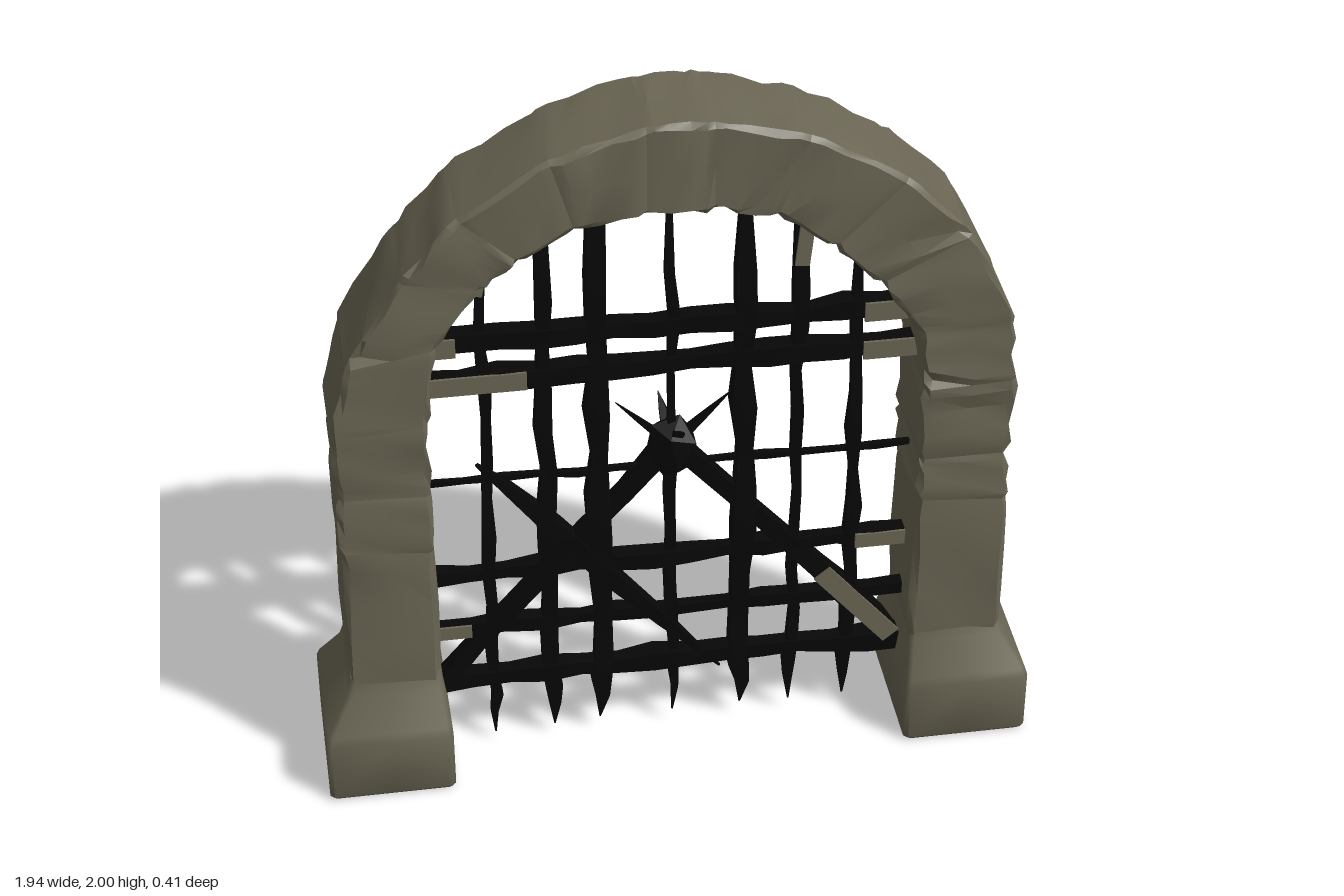
import * as THREE from 'three';
import { toCreasedNormals } from 'three/addons/utils/BufferGeometryUtils.js';

const V = (x, y, z) => new THREE.Vector3(x, y, z);

// small seeded generator, returns -1..1
let seed = 7;
const rnd = () => {
  seed = (seed * 16807) % 2147483647;
  return (seed / 2147483647) * 2 - 1;
};

// closed skin over a list of equal-length rings of points
function loft(rings, crease) {
  const n = rings[0].length, pos = [], idx = [];
  rings.forEach(r => r.forEach(p => pos.push(p.x, p.y, p.z)));
  for (let i = 0; i < rings.length - 1; i++) {
    for (let j = 0; j < n; j++) {
      const a = i * n + j, b = i * n + (j + 1) % n;
      idx.push(a, b, a + n, b, b + n, a + n);
    }
  }
  [0, rings.length - 1].forEach(k => {
    const c = rings[k].reduce((s, p) => s.add(p), V(0, 0, 0)).divideScalar(n);
    const ci = pos.length / 3;
    pos.push(c.x, c.y, c.z);
    for (let j = 0; j < n; j++) {
      const a = k * n + j, b = k * n + (j + 1) % n;
      if (k === 0) idx.push(ci, b, a); else idx.push(ci, a, b);
    }
  });
  // turn the skin outwards when its signed volume is negative
  const at = i => V(pos[i * 3], pos[i * 3 + 1], pos[i * 3 + 2]);
  let volume = 0;
  for (let i = 0; i < idx.length; i += 3) volume += at(idx[i]).dot(at(idx[i + 1]).cross(at(idx[i + 2])));
  if (volume < 0) idx.reverse();
  const g = new THREE.BufferGeometry();
  g.setAttribute('position', new THREE.Float32BufferAttribute(pos, 3));
  g.setIndex(idx);
  return toCreasedNormals(g, crease);
}

// chamfered rectangle with a midpoint on every side, as [u, v] pairs
function section(hu, hv, c) {
  return [[hu, 0], [hu, hv - c], [hu - c, hv], [0, hv], [c - hu, hv], [-hu, hv - c],
    [-hu, 0], [-hu, c - hv], [c - hu, -hv], [0, -hv], [hu - c, -hv], [hu, c - hv]];
}

export function createModel() {
  const stone = new THREE.MeshStandardMaterial({ color: 0x6b6654 });
  stone.name = 'stone';
  const iron = new THREE.MeshStandardMaterial({ color: 0x070707 });
  iron.name = 'blackIron';
  const model = new THREE.Group();
  model.name = 'gateway';
  const add = (parent, name, geometry, material) => {
    const m = new THREE.Mesh(geometry, material);
    m.name = name;
    parent.add(m);
  };

  // flared footings
  const footings = new THREE.Group();
  footings.name = 'footings';
  model.add(footings);
  for (const s of [-1, 1]) {
    const levels = [[0, 0.797, 0.163, 0.197], [0.012, 0.797, 0.172, 0.207], [0.19, 0.797, 0.172, 0.207],
      [0.215, 0.795, 0.166, 0.199], [0.31, 0.772, 0.13, 0.147], [0.36, 0.768, 0.12, 0.135]];
    const rings = levels.map(([y, cx, hx, hz]) =>
      section(hx, hz, 0.012).map(([u, v]) => V(s * cx + u, y, v)));
    add(footings, s < 0 ? 'rightFooting' : 'leftFooting', loft(rings, 0.9), stone);
  }

  // joints between stones: outer x, y, inner x, y, half depth
  const joints = [
    [-0.89, 0.3, -0.643, 0.3, 0.14], [-0.893, 0.79, -0.645, 0.77, 0.14], [-0.885, 0.96, -0.645, 0.95, 0.135],
    [-0.895, 1.16, -0.645, 1.18, 0.145], [-0.845, 1.37, -0.615, 1.41, 0.145], [-0.70, 1.61, -0.5, 1.57, 0.138],
    [-0.55, 1.78, -0.4, 1.645, 0.138], [-0.32, 1.925, -0.26, 1.72, 0.136], [-0.08, 1.995, -0.08, 1.75, 0.138],
    [0.09, 1.995, 0.09, 1.75, 0.138], [0.33, 1.935, 0.25, 1.715, 0.136], [0.58, 1.79, 0.40, 1.61, 0.136],
    [0.75, 1.61, 0.52, 1.49, 0.138], [0.875, 1.35, 0.625, 1.33, 0.145], [0.89, 1.16, 0.645, 1.15, 0.148],
    [0.88, 0.92, 0.643, 0.92, 0.136], [0.888, 0.77, 0.643, 0.79, 0.142], [0.89, 0.3, 0.643, 0.3, 0.14]];
  const arch = new THREE.Group();
  arch.name = 'archStones';
  model.add(arch);
  for (let k = 0; k < joints.length - 1; k++) {
    const A = joints[k], B = joints[k + 1];
    const swell = 0.002 + 0.002 * rnd();
    const rings = [0, 0.12, 0.35, 0.65, 0.88, 1].map((t, i) => {
      const [ox, oy, ix, iy, hz] = A.map((a, j) => a + (B[j] - a) * t);
      const end = i === 0 || i === 5;
      const mid = V((ox + ix) / 2, (oy + iy) / 2, 0);
      const across = V(ox - ix, oy - iy, 0);
      const hw = across.length() / 2;
      across.normalize();
      const grow = end ? -0.001 : swell;
      return section(hw + grow, hz + grow, 0.013).map(([u, v]) => {
        // weathered faces with an occasional chip
        const rough = end ? 0 : 0.006;
        const chip = !end && rnd() > 0.8 ? 0.93 : 1;
        return mid.clone().addScaledVector(across, u * chip + rnd() * rough)
          .add(V(0, 0, v * chip + rnd() * rough));
      });
    });
    add(arch, 'archStone', loft(rings, 0.5), stone);
  }

  // hand-forged square bar, profile is a list of [position along, half width]
  const gate = new THREE.Group();
  gate.name = 'gate';
  model.add(gate);
  const Z = 0.015;
  function bar(name, a, b, profile, wobble = 0.006) {
    const dir = b.clone().sub(a).normalize();
    const side = V(-dir.y, dir.x, 0).normalize();
    const rings = profile.map(([t, w]) => {
      const c = a.clone().lerp(b, t).addScaledVector(side, rnd() * wobble);
      return [[1, 1], [-1, 1], [-1, -1], [1, -1]].map(([u, v]) =>
        c.clone().addScaledVector(side, u * w).add(V(0, 0, v * w)));
    });
    add(gate, name, loft(rings, 0.4), iron);
  }
  const even = (w, n, vary = 0.25) =>
    Array.from({ length: n + 1 }, (_, i) => [i / n, w * (1 + vary * rnd())]);

  // thin bare plate on the front of a bar: start, end, half width, front z
  function plate(x0, y0, x1, y1, w, z) {
    const g = new THREE.BoxGeometry(Math.hypot(x1 - x0, y1 - y0), 2 * w, 0.008);
    g.rotateZ(Math.atan2(y1 - y0, x1 - x0)).translate((x0 + x1) / 2, (y0 + y1) / 2, z);
    add(gate, 'barePlate', g, stone);
  }

  // uprights with spear points: x, half width, top, half width at top
  const uprights = [[-0.49, 0.014, 1.6, 0.01], [-0.335, 0.022, 1.72, 0.016], [-0.195, 0.026, 1.78, 0.022],
    [0, 0.013, 1.78, 0.005], [0.19, 0.026, 1.76, 0.01], [0.335, 0.016, 1.7, 0.012], [0.49, 0.016, 1.56, 0.008]];
  for (const [x, w, top, tip] of uprights) {
    const profile = [[0, 0.002], [0.05, w * 0.75], [0.09, w * 1.1], [0.12, w]];
    for (let i = 1; i <= 9; i++) profile.push([0.12 + i * 0.08, w * (1 + 0.3 * rnd())]);
    profile.push([1, tip]);
    bar('upright', V(x, 0.04 + 0.015 * rnd(), Z), V(x, top, Z), profile, 0.008);
  }
  plate(0.333, 1.5, 0.345, 1.62, 0.019, Z + 0.022);
  plate(-0.5, 1.49, -0.485, 1.56, 0.014, Z + 0.02);

  // crossbars: y, half width, where the bare left and right ends begin
  const crossbars = [[1.345, 0.025, -0.56, 0.5], [1.225, 0.024, -0.38, 0.5], [0.9, 0.008, -0.65, 0.65],
    [0.595, 0.02, -0.65, 0.5], [0.41, 0.018, -0.55, 0.65], [0.235, 0.024, -0.65, 0.65]];
  for (const [y, w, l, r] of crossbars) {
    bar('crossbar', V(-0.65, y, Z), V(0.65, y, Z), even(w, 13));
    if (l > -0.65) plate(-0.65, y, l, y, w * 1.1, Z + w * 1.28);
    if (r < 0.65) plate(r, y, 0.65, y, w * 1.1, Z + w * 1.28);
  }

  // diagonal braces, the left one with a bare lower end, and a loose pointed rod
  bar('rightBrace', V(-0.03, 0.94, Z), V(-0.63, 0.24, Z), even(0.024, 6, 0.15));
  bar('leftBrace', V(0.03, 0.94, Z), V(0.635, 0.23, Z),
    [[0, 0.024], [0.3, 0.022], [0.62, 0.025], [0.75, 0.032], [0.9, 0.027], [1, 0.014]], 0.002);
  plate(0.41, 0.5, 0.61, 0.26, 0.028, Z + 0.034);
  bar('looseRod', V(-0.515, 0.96, Z + 0.01), V(0.13, 0.19, Z + 0.01),
    [[0, 0.004], [0.1, 0.014], [0.3, 0.024], [0.5, 0.025], [0.75, 0.018], [1, 0.003]]);

  // faceted boss with thorns
  const boss = new THREE.IcosahedronGeometry(0.078, 0);
  boss.rotateZ(0.25).scale(0.95, 1.3, 0.8).translate(0, 0.955, Z);
  add(gate, 'boss', boss, iron);
  for (const [x, y, z, w] of [[-0.15, 1.12, 0.03, 0.01], [0.155, 1.125, 0.03, 0.012],
    [-0.02, 1.06, -0.09, 0.02], [0.02, 1.06, 0.11, 0.02]]) {
    bar('thorn', V(x * 0.2, 0.99, Z), V(x, y, z), [[0, w], [0.5, w * 0.6], [1, 0.001]], 0);
  }
  return model;
}
